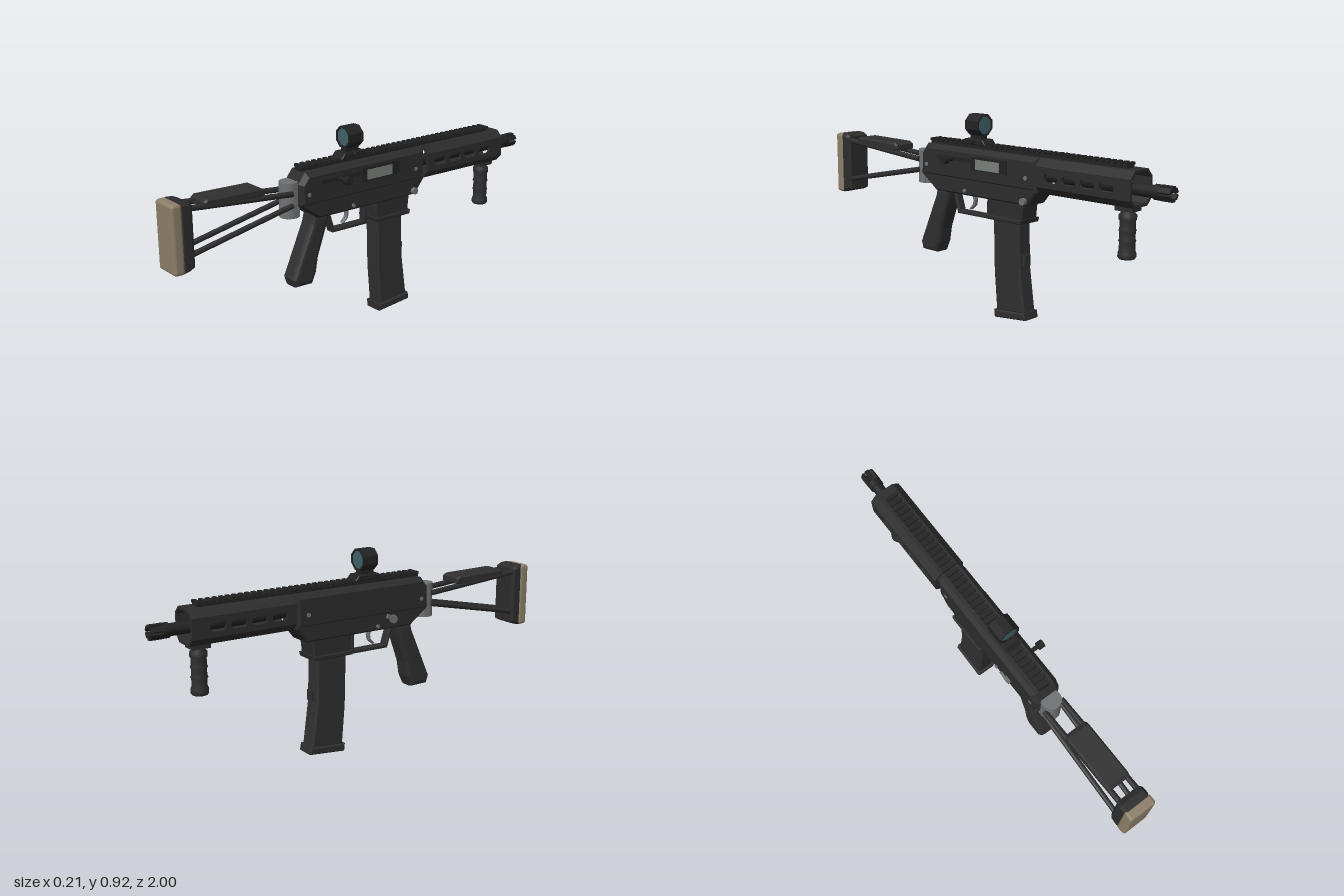
import * as THREE from 'three';
import { RoundedBoxGeometry } from 'three/addons/geometries/RoundedBoxGeometry.js';

const mat = (name, color) => Object.assign(new THREE.MeshStandardMaterial({ color }), { name });

export function createModel() {
  const body = mat('body black', 0x2c2c2d);
  const rail = mat('rail black', 0x222223);
  const polymer = mat('polymer black', 0x2f2f30);
  const steel = mat('grey steel', 0x6f7274);
  const bolt = mat('bolt grey', 0x7b807b);
  const tan = mat('tan rubber', 0x8c7f69);
  const lens = mat('lens teal', 0x40636a);

  const group = new THREE.Group();
  group.position.x = -0.0275; // the handle on one side shifts the centre line
  const add = (name, geo, material, x = 0, y = 0, z = 0) => {
    const m = new THREE.Mesh(geo, material);
    m.name = name;
    m.position.set(x, y, z);
    group.add(m);
    return m;
  };
  const box = (name, m, w, h, d, x, y, z) => add(name, new THREE.BoxGeometry(w, h, d), m, x, y, z);
  const toShape = pts => new THREE.Shape(pts.map(p => new THREE.Vector2(p[0], p[1])));

  // Side profile in (z, y), extruded across the width with chamfered edges
  const side = (name, m, profile, w, bevel = 0.01, x = 0, segs = 1) => {
    const s = profile instanceof THREE.Shape ? profile : toShape(profile);
    const g = new THREE.ExtrudeGeometry(s, {
      depth: w - 2 * bevel, bevelEnabled: bevel > 0, bevelThickness: bevel,
      bevelSize: bevel, bevelOffset: -bevel, bevelSegments: segs, curveSegments: 6,
    });
    g.translate(0, 0, -(w - 2 * bevel) / 2).rotateY(-Math.PI / 2);
    return add(name, g, m, x);
  };
  // Cross-section in (x, y), extruded along z
  const along = (name, m, pts, z0, z1) => add(name,
    new THREE.ExtrudeGeometry(toShape(pts), { depth: z1 - z0, bevelEnabled: false }), m, 0, 0, z0);
  // Round rod between two points
  const rod = (name, m, a, b, r, sides = 12) => {
    const p = new THREE.Vector3(...a), q = new THREE.Vector3(...b);
    const mesh = add(name, new THREE.CylinderGeometry(r, r, p.distanceTo(q), sides), m);
    mesh.position.copy(p).add(q).multiplyScalar(0.5);
    mesh.quaternion.setFromUnitVectors(new THREE.Vector3(0, 1, 0), q.sub(p).normalize());
    return mesh;
  };

  // Receiver
  side('upperReceiver', body, [[0.375, 0.625], [0.375, 0.72], [0.338, 0.768], [-0.345, 0.768],
    [-0.345, 0.62], [-0.33, 0.61], [0.36, 0.61]], 0.135, 0.02);
  side('lowerReceiver', body, [[0.375, 0.64], [0.375, 0.625], [0.275, 0.55], [-0.05, 0.55],
    [-0.29, 0.55], [-0.343, 0.615], [-0.343, 0.64]], 0.126, 0.008);
  side('magazineWell', body, [[-0.035, 0.57], [-0.05, 0.55], [-0.055, 0.465], [-0.25, 0.465],
    [-0.26, 0.55], [-0.29, 0.57]], 0.112, 0.008);
  side('magazineWellLip', body, [[-0.045, 0.48], [-0.05, 0.46], [-0.255, 0.46], [-0.26, 0.48]], 0.126, 0.004);

  // Ejection port, bolt slot and charging handle
  box('portFrame', rail, 0.008, 0.064, 0.22, 0.068, 0.705, -0.07);
  box('boltFace', bolt, 0.008, 0.046, 0.145, 0.0705, 0.703, -0.063);
  box('handleSlot', rail, 0.006, 0.018, 0.21, 0.067, 0.715, 0.155);
  rod('chargingStem', rail, [0.06, 0.713, 0.16], [0.106, 0.713, 0.16], 0.01);
  rod('chargingKnob', rail, [0.104, 0.713, 0.16], [0.132, 0.713, 0.16], 0.019);

  // Pins, release button and selector
  for (const [z, y, r] of [[0.33, 0.67, 0.01], [-0.285, 0.675, 0.01], [0.085, 0.572, 0.009]])
    rod('pin', steel, [-0.07, y, z], [0.07, y, z], r);
  rod('magazineRelease', steel, [0.05, 0.57, -0.275], [0.08, 0.57, -0.275], 0.016);
  rod('selectorHub', steel, [-0.055, 0.595, 0.17], [-0.075, 0.595, 0.17], 0.02);
  box('selectorLever', steel, 0.008, 0.02, 0.055, -0.074, 0.605, 0.155).rotation.x = 0.4;

  // Top rail with teeth
  box('railBase', rail, 0.05, 0.022, 1.13, 0, 0.771, -0.225);
  for (let i = 0; i < 37; i++)
    box('railTooth', rail, 0.063, 0.012, 0.017, 0, 0.786, 0.33 - i * 0.0309);

  // Hollow handguard: top and bottom shells plus pierced side plates
  const mid = 0.6915;
  const shell = [[-0.0765, 0.03], [-0.0765, 0.045], [-0.045, 0.0775], [0.045, 0.0775], [0.0765, 0.045], [0.0765, 0.03],
    [0.0645, 0.03], [0.0645, 0.04], [0.04, 0.0655], [-0.04, 0.0655], [-0.0645, 0.04], [-0.0645, 0.03]];
  for (const s of [1, -1])
    along(s > 0 ? 'handguardTop' : 'handguardBottom', body, shell.map(([x, y]) => [x, mid + s * y]), -0.845, -0.35);
  for (const s of [1, -1]) {
    const plate = toShape([[-0.845, mid - 0.031], [-0.35, mid - 0.031], [-0.35, mid + 0.031], [-0.845, mid + 0.031]]);
    for (const z of [-0.432, -0.53, -0.627, -0.725]) {
      const hole = new THREE.Path();
      hole.absarc(z + 0.018, mid - 0.002, 0.019, -Math.PI / 2, Math.PI / 2);
      hole.absarc(z - 0.018, mid - 0.002, 0.019, Math.PI / 2, Math.PI * 1.5);
      hole.closePath();
      plate.holes.push(hole);
    }
    side('handguardSide', body, plate, 0.012, 0, s * 0.0705);
  }

  // Barrel and slotted muzzle
  rod('barrel', rail, [0, 0.687, -0.34], [0, 0.687, -0.93], 0.027, 16);
  rod('muzzleCollar', rail, [0, 0.687, -0.915], [0, 0.687, -0.945], 0.033, 16);
  rod('muzzleCore', rail, [0, 0.687, -0.94], [0, 0.687, -0.96], 0.02, 12);
  for (let i = 0; i < 6; i++) {
    const a = i * Math.PI / 3 + Math.PI / 6;
    box('muzzleProng', rail, 0.012, 0.022, 0.06, Math.cos(a) * 0.026, 0.687 + Math.sin(a) * 0.026, -0.97)
      .rotation.z = a;
  }

  // Ribbed foregrip
  box('foregripMount', body, 0.07, 0.03, 0.085, 0, 0.608, -0.783);
  const ribs = [[0, 0.39], [0.034, 0.39], [0.039, 0.398], [0.039, 0.415], [0.034, 0.425], [0.034, 0.46], [0.038, 0.466],
    [0.034, 0.472], [0.034, 0.505], [0.038, 0.511], [0.034, 0.517], [0.034, 0.55], [0.038, 0.556], [0.038, 0.575],
    [0.03, 0.585], [0.03, 0.605], [0, 0.605]];
  add('foregrip', new THREE.LatheGeometry(ribs.map(p => new THREE.Vector2(...p)), 20), polymer, 0, 0, -0.783);

  // Pistol grip
  side('pistolGrip', polymer, [[0.29, 0.56], [0.3, 0.52], [0.405, 0.28], [0.392, 0.242], [0.3, 0.24], [0.277, 0.29],
    [0.265, 0.36], [0.215, 0.5], [0.2, 0.56]], 0.095, 0.022, 0, 3);

  // Trigger guard and trigger
  side('triggerGuard', body, [[0.205, 0.56], [0.17, 0.449], [-0.03, 0.449], [-0.03, 0.56], [-0.016, 0.56],
    [-0.016, 0.464], [0.159, 0.464], [0.189, 0.56]], 0.045, 0.003);
  side('trigger', steel, [[0.092, 0.56], [0.082, 0.52], [0.085, 0.5], [0.107, 0.478], [0.098, 0.474],
    [0.073, 0.495], [0.068, 0.52], [0.074, 0.56]], 0.022, 0.003);

  // Curved magazine with floor plate and side ribs
  side('magazine', polymer, [[-0.07, 0.48], [-0.076, 0.22], [-0.092, 0.03], [-0.26, 0.045], [-0.232, 0.25],
    [-0.225, 0.48]], 0.086, 0.01);
  side('magazineFloor', polymer, [[-0.082, 0.036], [-0.086, 0], [-0.272, 0.018], [-0.266, 0.052]], 0.098, 0.006);
  box('magazineCatch', polymer, 0.04, 0.05, 0.025, 0, 0.285, -0.233);

  // Optic with octagonal housing
  side('opticBase', rail, [[0.13, 0.785], [0.11, 0.81], [0.0, 0.81], [-0.02, 0.785]], 0.075, 0.004);
  rod('opticClamp', rail, [0.03, 0.801, 0.055], [0.056, 0.801, 0.055], 0.011);
  box('opticNeck', rail, 0.038, 0.03, 0.07, 0, 0.819, 0.055);
  const octagon = r => Array.from({ length: 8 }, (_, i) => {
    const a = (i + 0.5) * Math.PI / 4;
    return new THREE.Vector2(Math.cos(a) * r, Math.sin(a) * r);
  });
  const ring = new THREE.Shape(octagon(0.052));
  ring.holes.push(new THREE.Path(octagon(0.043)));
  add('opticHousing', new THREE.ExtrudeGeometry(ring, { depth: 0.08, bevelEnabled: false }), rail, 0, 0.875, 0.015);
  for (const z of [0.02, 0.082])
    add('opticLens', new THREE.ExtrudeGeometry(new THREE.Shape(octagon(0.0435)), { depth: 0.006, bevelEnabled: false }),
      lens, 0, 0.875, z);

  // Folding stock: hinge, four struts, cheek rest, end frame and pad
  rod('stockHinge', steel, [0, 0.57, 0.39], [0, 0.73, 0.39], 0.045, 20);
  box('hingeBlock', steel, 0.09, 0.15, 0.03, 0, 0.65, 0.382);
  for (const s of [1, -1]) {
    rod('upperStrut', body, [s * 0.046, 0.727, 0.92], [s * 0.046, 0.684, 0.405], 0.013);
    rod('lowerStrut', body, [s * 0.046, 0.525, 0.92], [s * 0.046, 0.632, 0.405], 0.012);
  }
  side('cheekRest', polymer, [[0.845, 0.715], [0.845, 0.738], [0.83, 0.75], [0.57, 0.746], [0.55, 0.735],
    [0.55, 0.712], [0.57, 0.703]], 0.115, 0.008);
  side('stockEnd', body, [[0.9, 0.475], [0.9, 0.745], [0.925, 0.757], [0.96, 0.76], [0.96, 0.455], [0.925, 0.462]],
    0.132, 0.012);
  add('buttPad', new RoundedBoxGeometry(0.135, 0.302, 0.05, 3, 0.014), tan, 0, 0.607, 0.975);

  const model = new THREE.Group();
  model.name = 'carbine';
  model.add(group);
  return model;
}
